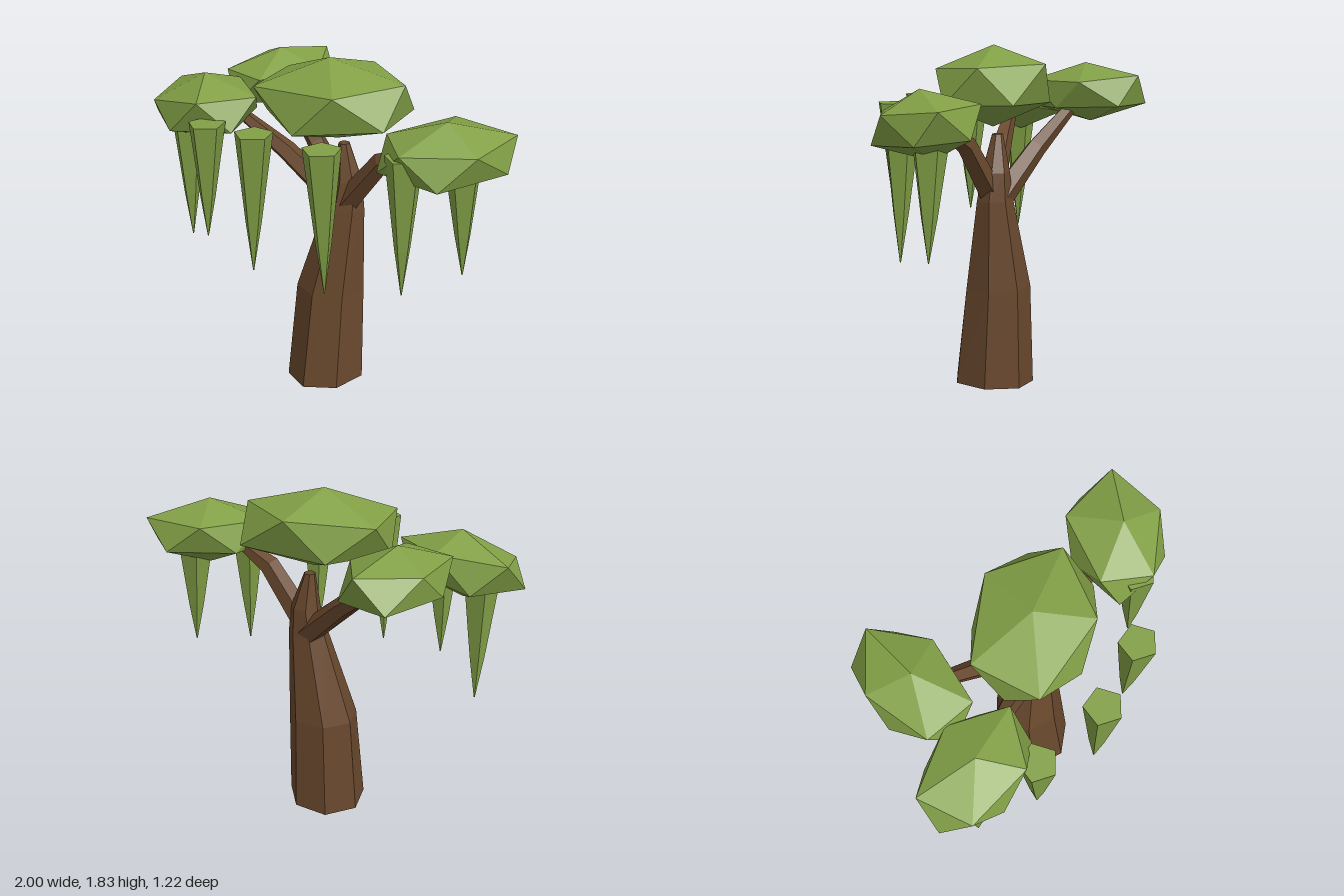
import * as THREE from 'three';
import { ConvexGeometry } from 'three/addons/geometries/ConvexGeometry.js';

const V = (x, y, z) => new THREE.Vector3(x, y, z);
const UP = V(0, 1, 0);

// Faceted solid through rings listed bottom to top: { p: centre, rx, rz, slope }
function loft(rings, sides, axis = UP) {
  const tilt = new THREE.Quaternion().setFromUnitVectors(UP, axis.clone().normalize());
  const pts = rings.map(({ p, rx, rz = rx, slope = 0 }) =>
    Array.from({ length: sides }, (_, j) => {
      const a = (j / sides) * Math.PI * 2;
      const x = rx * Math.sin(a);
      return V(x, slope * x, rz * Math.cos(a)).applyQuaternion(tilt).add(p);
    }));
  const tris = [];
  const last = rings.length - 1;
  for (let j = 0; j < sides; j++) {
    const k = (j + 1) % sides;
    for (let i = 0; i < last; i++) {
      const [a, b, c, d] = [pts[i][j], pts[i][k], pts[i + 1][k], pts[i + 1][j]];
      tris.push(a, b, c, a, c, d);
    }
    tris.push(rings[0].p, pts[0][k], pts[0][j]);
    tris.push(rings[last].p, pts[last][j], pts[last][k]);
  }
  const geo = new THREE.BufferGeometry().setFromPoints(tris);
  geo.computeVertexNormals();
  return geo;
}

// Squashed twenty-sided crown: its lower half mirrors the upper through the centre
function crown(centre, apex, ring) {
  const c = V(...centre);
  const upper = [apex, ...ring].map(q => V(...q));
  const lower = upper.map(q => c.clone().multiplyScalar(2).sub(q));
  return new ConvexGeometry([...upper, ...lower]);
}

export function createModel() {
  const tree = new THREE.Group();
  tree.name = 'tree';
  const bark = new THREE.MeshStandardMaterial({ color: 0x69482d, flatShading: true });
  const leaf = new THREE.MeshStandardMaterial({ color: 0x82a046, flatShading: true });
  const add = (name, geo, mat) => {
    const mesh = new THREE.Mesh(geo, mat);
    mesh.name = name;
    tree.add(mesh);
  };

  // Leaning trunk narrowing into a central stub
  add('trunk', loft([
    { p: V(0, 0.014, 0.03), rx: 0.21, rz: 0.22, slope: 0.06 },
    { p: V(0.01, 0.55, 0), rx: 0.19, rz: 0.175 },
    { p: V(0.085, 1.03, -0.02), rx: 0.11, rz: 0.095 },
    { p: V(0.095, 1.18, -0.03), rx: 0.08, rz: 0.075 },
    { p: V(0.07, 1.375, -0.03), rx: 0.03 },
  ], 7), bark);

  // Branches: base, elbow and end under each crown
  const branches = {
    leftBranch: [V(0.08, 1.03, -0.01), V(0.34, 1.35, 0.02), V(0.5, 1.43, 0.03)],
    frontRightBranch: [V(0.09, 1.03, 0), V(-0.22, 1.3, 0.08), V(-0.44, 1.45, 0.13)],
    backRightBranch: [V(0.09, 1.02, -0.04), V(-0.18, 1.28, -0.14), V(-0.46, 1.5, -0.24)],
  };
  for (const [name, path] of Object.entries(branches)) {
    const radii = [0.07, 0.055, 0.035];
    add(name, loft(path.map((p, i) => ({ p, rx: radii[i] })), 5, path[2].clone().sub(path[0])), bark);
  }

  // Leaf crowns
  add('middleCrown', crown([0.035, 1.62, 0.01], [0.01, 1.83, 0.02], [
    [0.07, 1.74, -0.3], [0.4, 1.73, -0.08], [0.2, 1.71, 0.26], [-0.28, 1.69, 0.27], [-0.33, 1.7, -0.09]]), leaf);
  add('backRightCrown', crown([-0.535, 1.56, -0.295], [-0.53, 1.72, -0.28], [
    [-0.46, 1.66, -0.61], [-0.31, 1.625, -0.33], [-0.45, 1.62, 0.01], [-0.72, 1.62, -0.05], [-0.72, 1.64, -0.41]]), leaf);
  add('frontRightCrown', crown([-0.68, 1.495, 0.185], [-0.67, 1.67, 0.19], [
    [-0.96, 1.565, 0.06], [-0.905, 1.515, 0.34], [-0.555, 1.575, 0.395], [-0.355, 1.585, 0.155], [-0.615, 1.6, -0.03]]), leaf);
  add('leftCrown', crown([0.7125, 1.48, 0.035], [0.725, 1.65, 0.06], [
    [0.975, 1.57, -0.175], [0.94, 1.54, 0.145], [0.62, 1.53, 0.32], [0.43, 1.55, 0.13], [0.615, 1.58, -0.21]]), leaf);

  // Hanging vines: [top centre, tip]
  [
    [V(-0.09, 1.55, 0.505), V(-0.11, 0.81, 0.51)],
    [V(0.28, 1.535, 0.455), V(0.28, 0.765, 0.435)],
    [V(-0.48, 1.49, 0.405), V(-0.495, 0.86, 0.415)],
    [V(-0.765, 1.43, 0.23), V(-0.77, 0.73, 0.235)],
    [V(0.6, 1.5, 0.235), V(0.61, 0.775, 0.245)],
    [V(0.775, 1.45, -0.02), V(0.8, 0.835, -0.02)],
  ].forEach(([top, tip], i) => add(`vine${i + 1}`, loft([
    { p: tip, rx: 0.003 },
    { p: tip.clone().lerp(top, 0.35), rx: 0.042 },
    { p: top, rx: 0.1 },
  ], 5), leaf));

  return tree;
}
